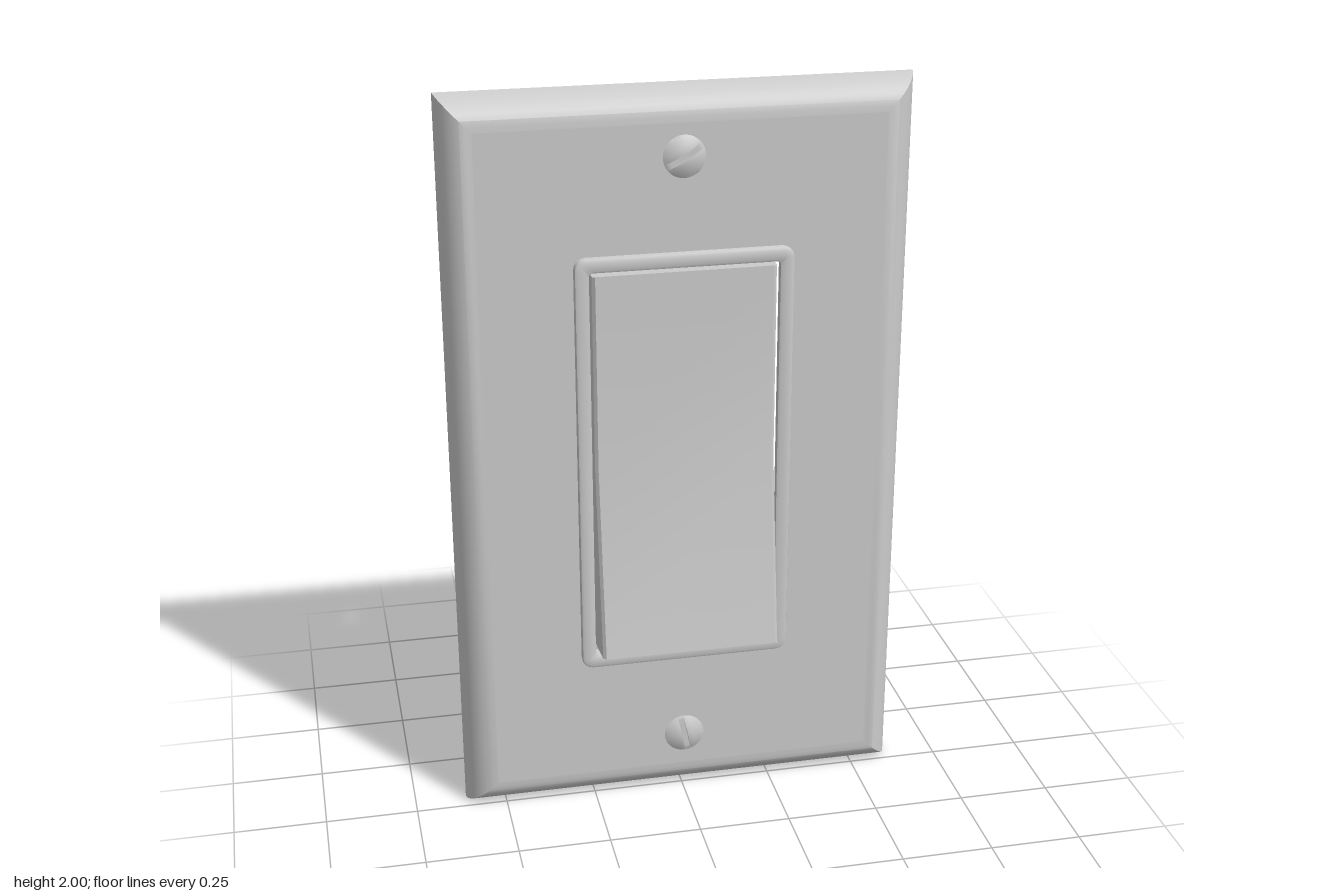
import * as THREE from 'three';
import { toCreasedNormals } from 'three/addons/utils/BufferGeometryUtils.js';

const material = new THREE.MeshStandardMaterial({ color: 0xcccccc, side: THREE.DoubleSide });
const midY = 1;

function makeMesh(name, geometry) {
  const mesh = new THREE.Mesh(geometry, material);
  mesh.name = name;
  return mesh;
}

// Skin between successive rows of [x, y, z] points
function loft(rows, closed = false) {
  const n = rows[0].length, index = [];
  for (let i = 0; i < rows.length - 1; i++) {
    for (let j = 0; j < (closed ? n : n - 1); j++) {
      const k = (j + 1) % n;
      const a = i * n + j, b = i * n + k, c = (i + 1) * n + k, d = (i + 1) * n + j;
      index.push(a, b, c, a, c, d);
    }
  }
  const geometry = new THREE.BufferGeometry();
  geometry.setAttribute('position', new THREE.Float32BufferAttribute(rows.flat(2), 3));
  geometry.setIndex(index);
  return toCreasedNormals(geometry, 0.5);
}

// Counter-clockwise rectangle ring with rounded corners
function ring(hw, hh, z, r = 0, cy = midY) {
  const points = [], steps = r ? 4 : 0;
  [[1, -1], [1, 1], [-1, 1], [-1, -1]].forEach(([sx, sy], q) => {
    for (let s = 0; s <= steps; s++) {
      const t = (q - 1 + (steps ? s / steps : 0)) * Math.PI / 2;
      const ox = r ? r * Math.cos(t) : 0, oy = r ? r * Math.sin(t) : 0;
      points.push([sx * (hw - r) + ox, cy + sy * (hh - r) + oy, z]);
    }
  });
  return points;
}

// Thin plate: curved mitred rim around a flat face with openings
function createPlate() {
  const group = new THREE.Group();
  group.name = 'wallPlate';
  const inset = 0.085, steps = 8, rows = [];
  for (let i = 0; i <= steps; i++) {
    const t = 0.2 + (i / steps) * (Math.PI / 2 - 0.2);
    const d = inset * (Math.cos(0.2) - Math.cos(t)) / Math.cos(0.2);
    const z = -0.05 + 0.085 * (Math.sin(t) - Math.sin(0.2)) / (1 - Math.sin(0.2));
    rows.push(ring(0.61 - d, 1 - d, z));
  }
  group.add(makeMesh('plateRim', loft(rows, true)));

  const toVectors = (points) => points.map(([x, y]) => new THREE.Vector2(x, y));
  const face = new THREE.Shape(toVectors(ring(0.61 - inset, 1 - inset, 0)));
  face.holes.push(new THREE.Path(toVectors(ring(0.28, 0.575, 0, 0.03, 1.005))));
  for (const y of [0.18, 1.83]) {
    face.holes.push(new THREE.Path().absarc(0, y, 0.055, 0, Math.PI * 2, true));
  }
  const faceMesh = makeMesh('plateFace', new THREE.ShapeGeometry(face, 24));
  faceMesh.position.z = 0.035;
  group.add(faceMesh);
  return group;
}

// Rounded frame passing through the plate, open at the back
function createBezel() {
  const profile = [ // half width, half height, z, corner radius
    [0.285, 0.58, -0.05, 0.03], [0.285, 0.58, 0.047, 0.03],
    [0.283, 0.578, 0.052, 0.028], [0.277, 0.572, 0.055, 0.025],
    [0.254, 0.549, 0.055, 0.015], [0.248, 0.543, 0.052, 0.01],
    [0.248, 0.543, 0.03, 0.01],
  ];
  return makeMesh('bezel', loft(profile.map(([w, h, z, r]) => ring(w, h, z, r, 1.005)), true));
}

// Hollow rocker: upright upper half, lower half tilted outward
function createRocker() {
  const group = new THREE.Group();
  group.name = 'rocker';
  const w = 0.24, r = 0.008;
  const section = (yBack, yFront, back, front) => [
    [-w, yBack, back], [-w, yFront, front - r], [-w + r, yFront, front],
    [w - r, yFront, front], [w, yFront, front - r], [w, yBack, back],
  ];
  group.add(makeMesh('rockerPaddle', loft([
    section(0.465, 0.49, -0.05, 0.13),
    section(1.01, 1.01, -0.05, 0.052),
    section(1.537, 1.537, -0.13, 0.05),
  ])));
  const row = (y, z) => [[-w, y, z], [w, y, z]];
  group.add(makeMesh('rockerBottom', loft([row(0.465, -0.05), row(0.49, 0.13)])));
  group.add(makeMesh('rockerTop', loft([row(1.537, 0.05), row(1.537, -0.13)])));
  return group;
}

// Domed screw head with a sunken slot
function createScrew(name, y, angle) {
  const R = 0.075, g = 0.008, floor = 0.036, side = [];
  for (let i = 0; i <= 8; i++) side.push(g + (R * 0.995 - g) * Math.sin((i / 8) * Math.PI / 2));
  const across = [
    ...side.slice().reverse().map((a) => [-a, false]),
    [-g, true], [g, true],
    ...side.map((a) => [a, false]),
  ];
  const rows = [];
  for (let i = 0; i <= 16; i++) {
    const t = Math.sin((i / 16 - 0.5) * Math.PI);
    rows.push(across.map(([a, sunk]) => {
      const b = t * Math.sqrt(R * R - a * a);
      const dome = 0.05 - 0.03 * (a * a + b * b) / (R * R);
      return [a, b, sunk ? Math.min(dome, floor) : dome];
    }));
  }
  const screw = makeMesh(name, loft(rows));
  screw.position.y = y;
  screw.rotation.z = angle;
  return screw;
}

export function createModel() {
  const model = new THREE.Group();
  model.name = 'rockerSwitch';
  model.add(
    createPlate(),
    createBezel(),
    createRocker(),
    createScrew('upperScrew', 1.83, -Math.PI / 3),
    createScrew('lowerScrew', 0.18, 0.2),
  );
  return model;
}
